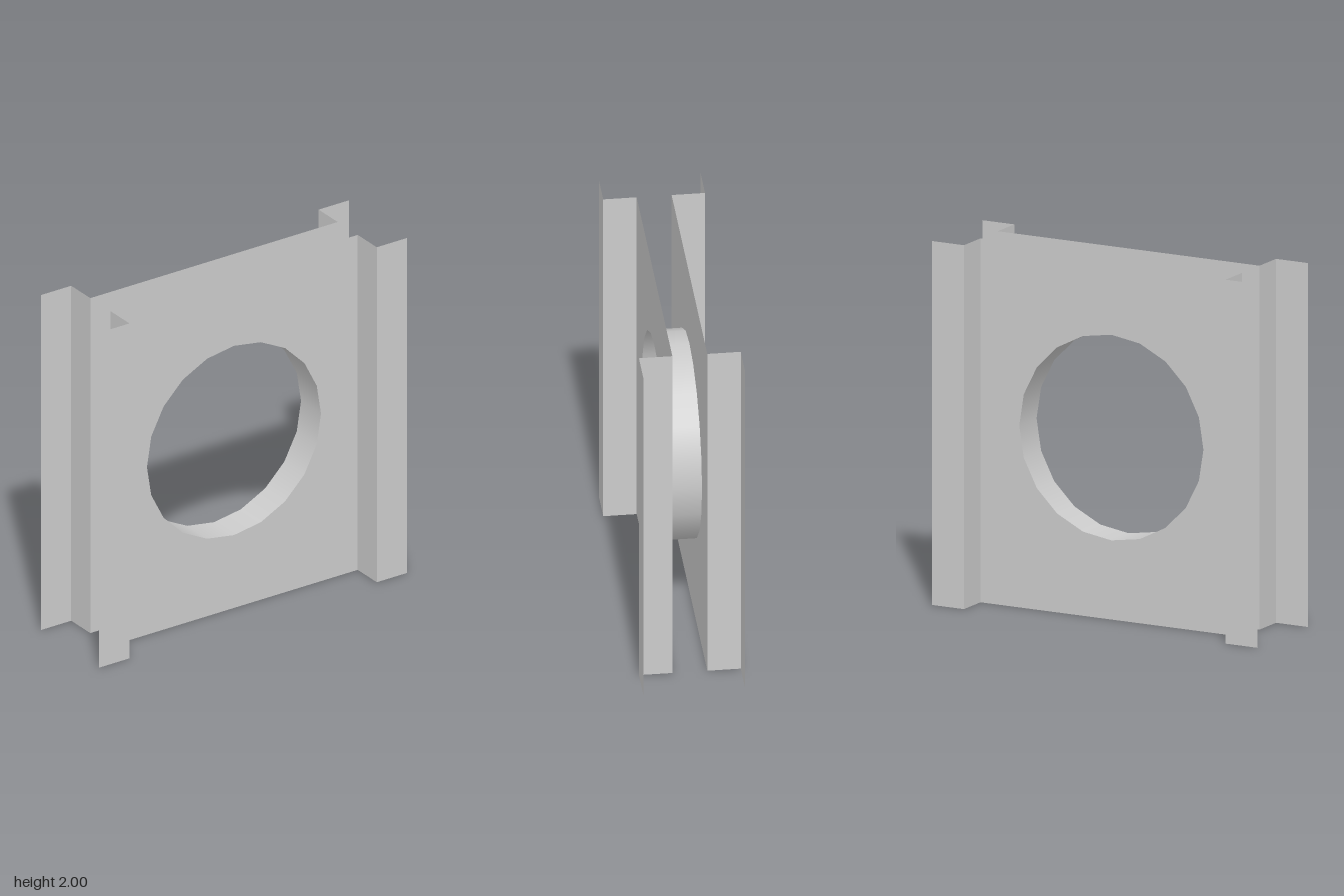
import * as THREE from 'three';

const H = 2;          // overall height
const WEB = 0.803;    // half width of the main sheet
const EDGE = 1;       // half width including flanges
const Z_IN = 0.094;   // depth of the main sheet
const Z_OUT = 0.274;  // depth of the flanges
const R = 0.565;      // opening radius
const SIDES = 20;

export function createModel() {
  const model = new THREE.Group();
  model.name = 'doubleSidedPanel';
  const material = new THREE.MeshStandardMaterial({ color: 0xcccccc, side: THREE.DoubleSide });

  const add = (parent, name, geometry, x, y, z) => {
    const mesh = new THREE.Mesh(geometry, material);
    mesh.name = name;
    mesh.position.set(x, y, z);
    parent.add(mesh);
    return mesh;
  };

  // Main sheet with a faceted round opening
  const sheet = new THREE.Shape([
    new THREE.Vector2(-WEB, -H / 2), new THREE.Vector2(WEB, -H / 2),
    new THREE.Vector2(WEB, H / 2), new THREE.Vector2(-WEB, H / 2),
  ]);
  const opening = new THREE.Path();
  opening.absarc(0, 0, R, 0, Math.PI * 2, true);
  sheet.holes.push(opening);
  const sheetGeometry = new THREE.ShapeGeometry(sheet, SIDES / 2);

  const stepGeometry = new THREE.PlaneGeometry(Z_OUT - Z_IN, H).rotateY(Math.PI / 2);
  const flangeGeometry = new THREE.PlaneGeometry(EDGE - WEB, H);

  // Front and back panels, each a sheet with stepped flanges on both edges
  for (const [name, turn] of [['frontPanel', 0], ['backPanel', Math.PI]]) {
    const panel = new THREE.Group();
    panel.name = name;
    panel.rotation.y = turn;
    add(panel, 'sheet', sheetGeometry, 0, H / 2, Z_IN);
    for (const side of [-1, 1]) {
      add(panel, 'flangeStep', stepGeometry, side * WEB, H / 2, (Z_IN + Z_OUT) / 2);
      add(panel, 'flange', flangeGeometry, side * (WEB + EDGE) / 2, H / 2, Z_OUT);
    }
    model.add(panel);
  }

  // Sleeve joining the two openings
  const sleeve = new THREE.CylinderGeometry(R, R, 2 * Z_IN, SIDES, 1, true).rotateX(Math.PI / 2);
  add(model, 'openingSleeve', sleeve, 0, H / 2, 0);

  return model;
}
